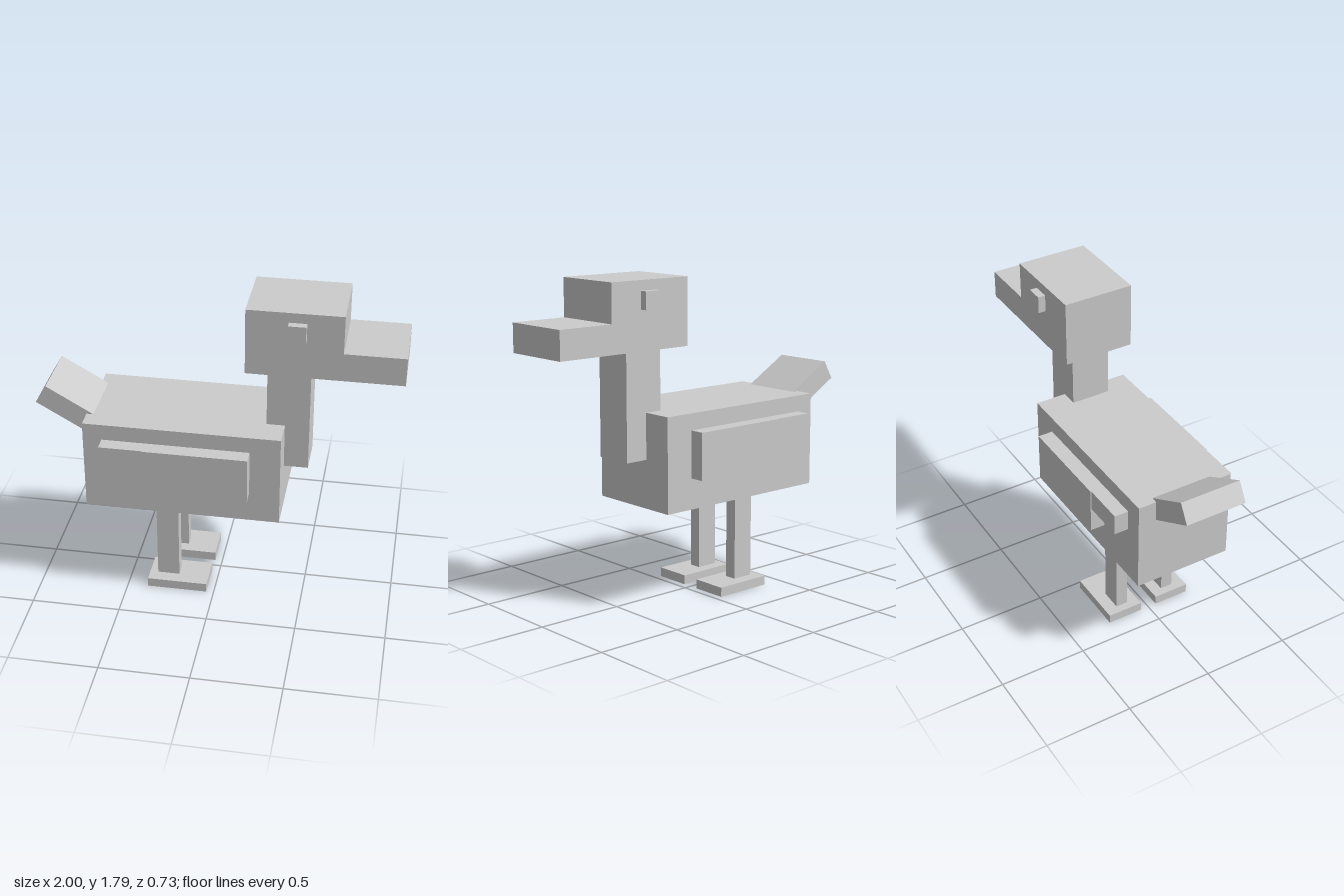
import * as THREE from 'three';

export function createModel() {
  const model = new THREE.Group();
  const material = new THREE.MeshStandardMaterial({ color: 0xcccccc, flatShading: true });

  // Box given by its extents along x, y and z
  function box(name, [x0, x1], [y0, y1], [z0, z1]) {
    const mesh = new THREE.Mesh(new THREE.BoxGeometry(x1 - x0, y1 - y0, z1 - z0), material);
    mesh.position.set((x0 + x1) / 2, (y0 + y1) / 2, (z0 + z1) / 2);
    mesh.name = name;
    model.add(mesh);
    return mesh;
  }

  // Pair of boxes mirrored across z = 0
  function pair(name, x, y, [z0, z1]) {
    box(name + 'Near', x, y, [z0, z1]);
    box(name + 'Far', x, y, [-z1, -z0]);
  }

  box('body', [-0.715, 0.37], [0.55, 1.077], [-0.28, 0.28]);
  box('neck', [0.27, 0.503], [0.82, 1.425], [-0.105, 0.12]);

  // Head and beak in one stepped profile
  const profile = new THREE.Shape([
    [0.16, 1.425], [1, 1.425], [1, 1.583], [0.673, 1.583], [0.673, 1.795], [0.16, 1.795],
  ].map(([x, y]) => new THREE.Vector2(x, y)));
  const head = new THREE.Mesh(
    new THREE.ExtrudeGeometry(profile, { depth: 0.4, bevelEnabled: false }), material);
  head.position.z = -0.2;
  head.name = 'headAndBeak';
  model.add(head);

  pair('eye', [0.385, 0.48], [1.643, 1.74], [0.19, 0.242]);

  // Wings: broad front panel and narrow rear tip
  pair('wing', [-0.37, 0.203], [0.723, 0.985], [0.27, 0.365]);
  pair('wingTip', [-0.61, -0.37], [0.867, 0.985], [0.27, 0.36]);

  pair('leg', [-0.337, -0.212], [0.05, 0.56], [0.115, 0.185]);
  pair('foot', [-0.383, -0.042], [0, 0.053], [0.05, 0.257]);

  // Tail slopes up and back, its root sunk into the body
  const tail = box('tail', [0, 0.4], [-0.06, 0.06], [-0.177, 0.175]);
  const tilt = -Math.PI / 6;
  tail.rotation.z = tilt;
  tail.position.x = -0.968 + 0.2 * Math.cos(tilt);
  tail.position.y = 1.176 + 0.2 * Math.sin(tilt);

  return model;
}
